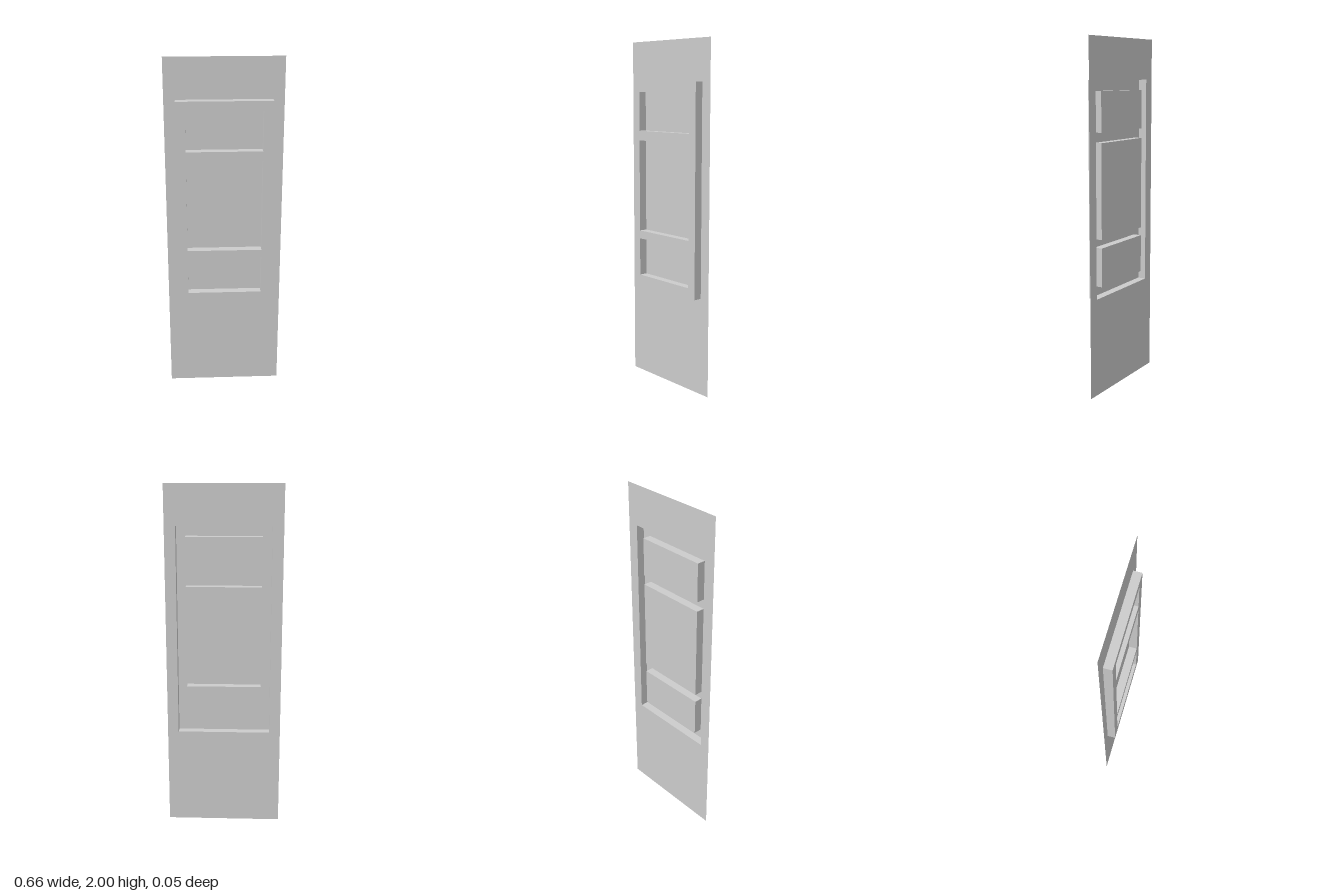
import * as THREE from 'three';

const BACK = -0.024, FRONT = 0.024;
const material = new THREE.MeshStandardMaterial({ color: 0xcccccc, side: THREE.DoubleSide, flatShading: true });

// Rectangles as half width, bottom and top
const sheetRect = { w: 0.33, y0: 0, y1: 2 };
const frameRect = { w: 0.267, y0: 0.565, y1: 1.769 };
const panels = {
  lowerPanel: { w: 0.214, y0: 0.624, y1: 0.847 },
  middlePanel: { w: 0.214, y0: 0.895, y1: 1.432 },
  upperPanel: { w: 0.214, y0: 1.488, y1: 1.711 },
};

const corners = ({ w, y0, y1 }) =>
  [[-w, y0], [w, y0], [w, y1], [-w, y1]].map(([x, y]) => new THREE.Vector2(x, y));

// Flat face at depth z, with optional rectangular holes
function face(name, rect, z, holes = []) {
  const shape = new THREE.Shape(corners(rect));
  shape.holes = holes.map((h) => new THREE.Path(corners(h).reverse()));
  const mesh = new THREE.Mesh(new THREE.ShapeGeometry(shape), material);
  mesh.position.z = z;
  mesh.name = name;
  return mesh;
}

// Four walls joining the back and front levels, facing outward or inward
function walls(name, { w, y0, y1 }, inward) {
  const group = new THREE.Group();
  group.name = name;
  const depth = FRONT - BACK, mid = (y0 + y1) / 2, turn = inward ? -1 : 1;
  for (const s of [-1, 1]) {
    const side = new THREE.Mesh(new THREE.PlaneGeometry(depth, y1 - y0), material);
    side.rotation.y = s * turn * Math.PI / 2;
    side.position.set(s * w, mid, 0);
    const rail = new THREE.Mesh(new THREE.PlaneGeometry(2 * w, depth), material);
    rail.rotation.x = -s * turn * Math.PI / 2;
    rail.position.set(0, s > 0 ? y1 : y0, 0);
    side.name = s > 0 ? 'leftWall' : 'rightWall';
    rail.name = s > 0 ? 'topWall' : 'bottomWall';
    group.add(side, rail);
  }
  return group;
}

export function createModel() {
  const model = new THREE.Group();
  model.name = 'panelledSheet';

  // Thin backing sheet, open behind the raised frame
  model.add(face('sheet', sheetRect, BACK, [frameRect]));

  // Raised frame, hollow at the back
  model.add(face('frameFace', frameRect, FRONT, Object.values(panels)));
  model.add(walls('frameEdge', frameRect, false));

  // Panels sunk back to the level of the sheet
  for (const [name, rect] of Object.entries(panels)) {
    model.add(face(name, rect, BACK), walls(name + 'Edge', rect, true));
  }
  return model;
}
